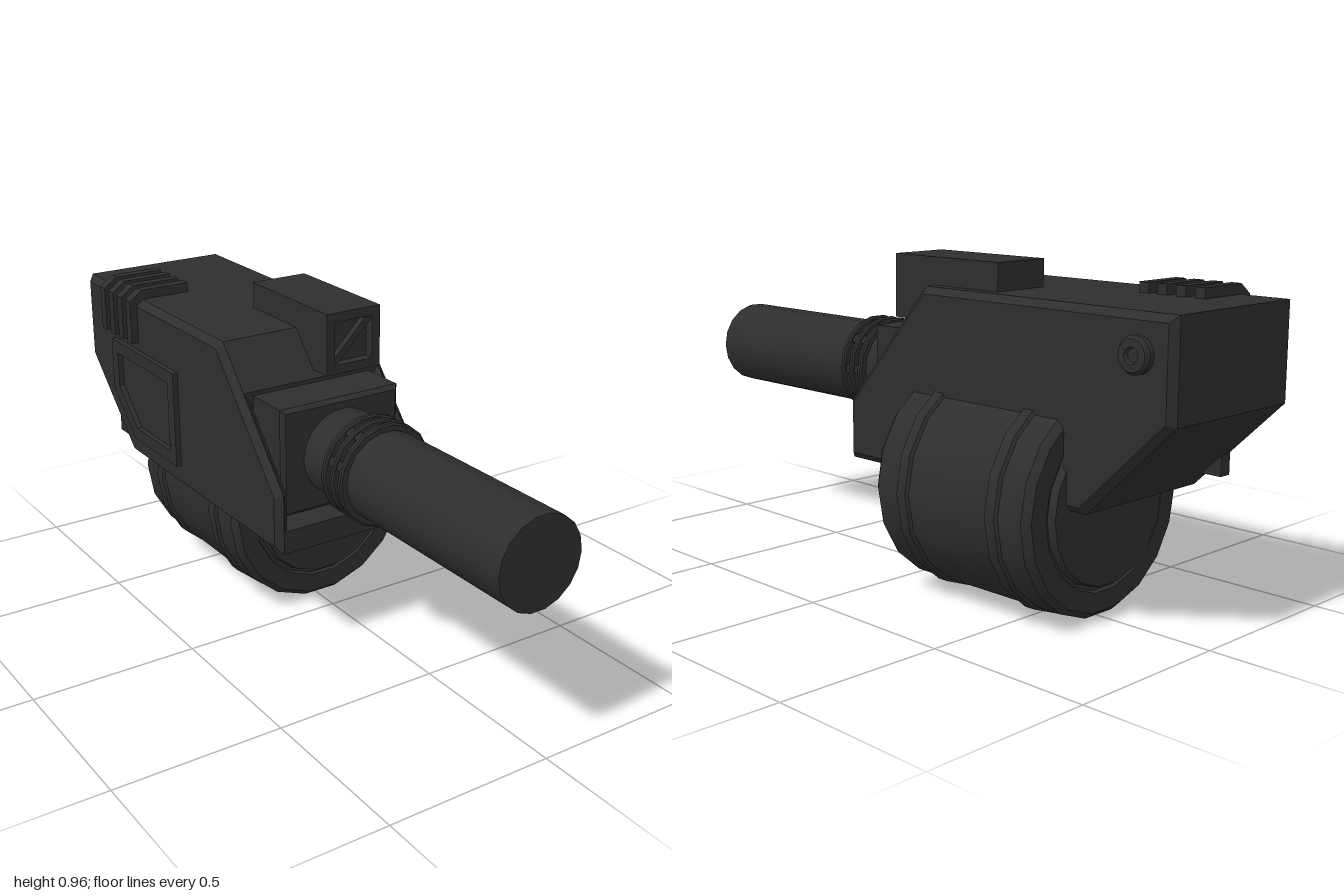
import * as THREE from 'three';
import { toCreasedNormals } from 'three/addons/utils/BufferGeometryUtils.js';

const darkMetal = new THREE.MeshStandardMaterial({ color: 0x2e2e2e });
darkMetal.name = 'dark metal';

const shapeOf = (pts) => new THREE.Shape(pts.map(([a, b]) => new THREE.Vector2(a, b)));

function extrude(shape, depth, bevel = 0) {
  return new THREE.ExtrudeGeometry(shape, {
    depth: depth - 2 * bevel, bevelEnabled: bevel > 0, bevelSize: bevel,
    bevelOffset: -bevel, bevelThickness: bevel, bevelSegments: 1,
  }).translate(0, 0, bevel);
}

// Extrudes a (z, y) outline across the model from x0 to x1
const across = (shape, x0, x1, bevel = 0) =>
  extrude(shape, x1 - x0, bevel).rotateY(-Math.PI / 2).translate(x1, 0, 0);

// Extrudes an (x, y) outline along z from z0 to z1
const along = (shape, z0, z1, bevel = 0) => extrude(shape, z1 - z0, bevel).translate(0, 0, z0);

// Box given by its limits
const box = (x0, x1, y0, y1, z0, z1) => new THREE.BoxGeometry(x1 - x0, y1 - y0, z1 - z0)
  .translate((x0 + x1) / 2, (y0 + y1) / 2, (z0 + z1) / 2);

// Turned part along z from [radius, z] points with z rising
const turned = (pts, sides) => toCreasedNormals(new THREE.LatheGeometry(
  pts.map(([r, z]) => new THREE.Vector2(r, z)), sides, Math.PI / 2), 0.5).rotateX(Math.PI / 2);

const rect = (x0, x1, y0, y1) => [[x0, y0], [x1, y0], [x1, y1], [x0, y1]];

export function createModel() {
  const model = new THREE.Group();
  const add = (name, geometry, parent = model) => {
    const mesh = new THREE.Mesh(geometry, darkMetal);
    mesh.name = name;
    parent.add(mesh);
    return mesh;
  };
  const group = (name) => {
    const g = new THREE.Group();
    g.name = name;
    model.add(g);
    return g;
  };

  // Housing: notched core between two chamfered cheek plates
  const rear = [[-0.12, 0.885], [-1, 0.885], [-1, 0.61], [-0.72, 0.34]];
  const housing = group('housing');
  add('housingCore', across(shapeOf([[0.2, 0.34], [0.2, 0.41], [-0.01, 0.41], [-0.01, 0.76], ...rear]),
    -0.297, 0.17), housing);
  const cheek = shapeOf([[0.2, 0.34], [0.2, 0.52], ...rear]);
  add('rightCheek', across(cheek, -0.317, -0.275, 0.02), housing);
  add('leftCheek', across(cheek, 0.148, 0.19, 0.02), housing);

  // Barrel mount in the front opening
  add('barrelMount', along(shapeOf(rect(-0.265, 0.135, 0.42, 0.748)), -0.06, 0.143, 0.012));

  // Barrel with a ribbed collar
  const barrel = group('barrel');
  barrel.position.set(-0.062, 0.585, 0);
  add('barrelTube', turned([[0, 0.1], [0.132, 0.1], [0.132, 1], [0, 1]], 18), barrel);
  for (const z of [0.27, 0.31, 0.35]) {
    add('collarRing', turned([[0.12, z - 0.01], [0.148, z - 0.01], [0.153, z - 0.005],
      [0.153, z + 0.005], [0.148, z + 0.01], [0.12, z + 0.01]], 18), barrel);
  }
  for (let i = 0; i < 9; i++) {
    const bar = add('collarBar', box(0.12, 0.142, -0.014, 0.014, 0.265, 0.355), barrel);
    bar.rotation.z = (i * Math.PI * 2) / 9;
  }

  // Drum magazine, the same at both ends
  const half = [[0, 0.3075], [0.222, 0.3075], [0.228, 0.285], [0.238, 0.285], [0.243, 0.295],
    [0.3, 0.295], [0.318, 0.274], [0.318, 0.193], [0.327, 0.187], [0.327, 0.153], [0.318, 0.147]];
  const drum = add('drumMagazine', turned(
    [...half.map(([r, z]) => [r, -z]), ...half.slice().reverse()], 18));
  drum.position.set(0.01, 0.324, -0.3625);

  // Sight box with a framed, diagonally braced front
  const sight = group('sight');
  add('sightBody', box(-0.05, 0.135, 0.78, 0.965, -0.365, 0.015), sight);
  const frame = shapeOf(rect(-0.05, 0.135, 0.78, 0.965));
  frame.holes.push(shapeOf(rect(-0.022, 0.107, 0.808, 0.937)));
  add('sightFrame', along(frame, 0.015, 0.045), sight);
  add('sightBrace', along(shapeOf([[-0.022, 0.808], [-0.008, 0.808], [0.107, 0.923],
    [0.107, 0.937], [0.093, 0.937], [-0.022, 0.822]]), 0.012, 0.036), sight);

  // Four ribs wrapping over the upper edge
  const rib = shapeOf([[-0.34, 0.745], [-0.3, 0.745], [-0.3, 0.87], [-0.135, 0.87],
    [-0.135, 0.915], [-0.297, 0.915], [-0.34, 0.883]]);
  for (let i = 0; i < 4; i++) {
    const z = -0.65 - i * 0.061;
    add('gripRib', along(rib, z - 0.016, z + 0.016));
  }

  // Raised side panel frame with a cut corner
  const panel = shapeOf([[-0.375, 0.415], [-0.375, 0.72], [-0.8, 0.72], [-0.8, 0.55], [-0.66, 0.415]]);
  panel.holes.push(shapeOf([[-0.415, 0.455], [-0.415, 0.68], [-0.76, 0.68], [-0.76, 0.568], [-0.645, 0.455]]));
  add('sidePanelFrame', across(panel, -0.334, -0.31));

  // Small lug under the sloped rear
  add('rearLug', box(-0.305, -0.265, 0.385, 0.5, -0.83, -0.7));

  // Round pivot bolt with a hollow centre
  const bolt = add('pivotBolt', turned([[0.05, -0.02], [0.05, 0.018], [0.042, 0.029], [0.022, 0.031],
    [0.018, 0.02], [0, 0.02]], 16));
  bolt.rotation.y = Math.PI / 2;
  bolt.position.set(0.187, 0.78, -0.89);

  return model;
}
